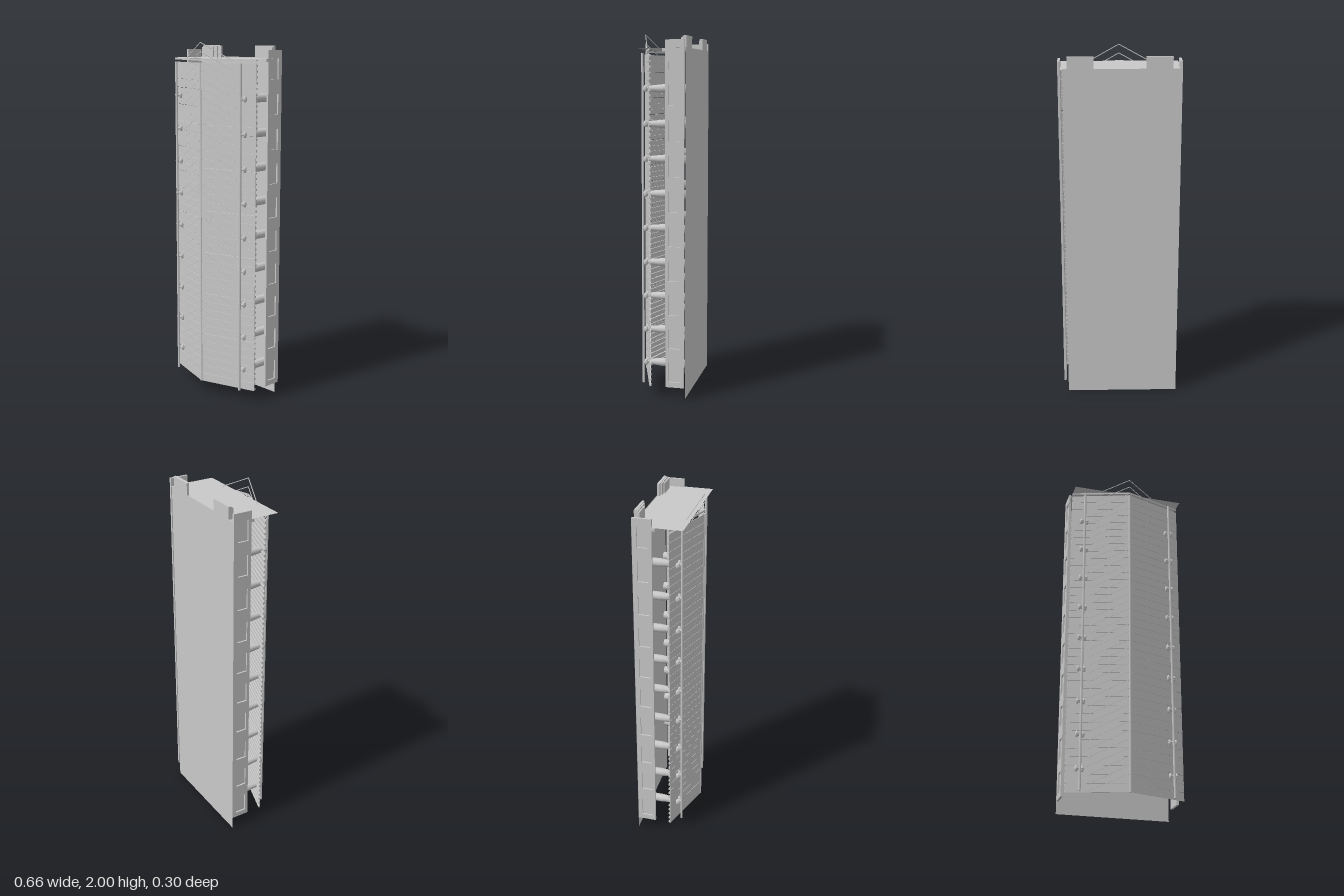
import * as THREE from 'three';

const grey = new THREE.MeshStandardMaterial({ color: 0xc9c9c9, side: THREE.DoubleSide });
grey.name = 'light grey';

// depth of the folded front screen at a given x
const foldZ = (x) => 0.148 - 0.315 * Math.abs(x);

export function createModel() {
  const model = new THREE.Group();
  model.name = 'tower';

  const add = (name, geometry) => {
    const mesh = new THREE.Mesh(geometry, grey);
    mesh.name = name;
    model.add(mesh);
    return mesh;
  };
  const box = (name, x0, x1, y0, y1, z0, z1) =>
    add(name, new THREE.BoxGeometry(x1 - x0, y1 - y0, z1 - z0))
      .position.set((x0 + x1) / 2, (y0 + y1) / 2, (z0 + z1) / 2);
  const rod = (name, a, b, r, sides = 6, rEnd = r) => {
    const from = new THREE.Vector3(...a), to = new THREE.Vector3(...b);
    const dir = to.clone().sub(from);
    const mesh = add(name, new THREE.CylinderGeometry(rEnd, r, dir.length(), sides));
    mesh.position.copy(from).add(to).multiplyScalar(0.5);
    mesh.quaternion.setFromUnitVectors(new THREE.Vector3(0, 1, 0), dir.normalize());
  };

  // back wall and roof sheets
  const backWall = add('backWall', new THREE.PlaneGeometry(0.634, 1.917));
  backWall.position.set(-0.013, 0.9585, -0.151);
  const roof = add('roof', new THREE.PlaneGeometry(0.652, 0.267).rotateX(-Math.PI / 2));
  roof.position.set(0, 1.912, -0.0175);

  // stepped parapets, three layers each
  for (const s of [-1, 1]) {
    [[0.138, 1.98, -0.151, -0.137], [0.16, 1.977, -0.137, -0.129], [0.185, 1.97, -0.129, -0.121]]
      .forEach(([inner, top, z0, z1]) =>
        box('parapet', Math.min(s * inner, s * 0.28), Math.max(s * inner, s * 0.28), 1.9, top, z0, z1));
  }

  // side walls with a column of recessed windows
  const wall = new THREE.Shape([
    [-0.15, 0.07], [-0.046, 0.07], [-0.046, 1.957], [-0.15, 1.957],
  ].map((p) => new THREE.Vector2(...p)));
  for (let i = 0; i < 10; i++) {
    const y = 0.1 + i * 0.189;
    wall.holes.push(new THREE.Path([
      [-0.125, y], [-0.125, y + 0.112], [-0.064, y + 0.112], [-0.064, y],
    ].map((p) => new THREE.Vector2(...p))));
  }
  const wallGeometry = new THREE.ExtrudeGeometry(wall, { depth: 0.013, bevelEnabled: false });
  wallGeometry.rotateY(-Math.PI / 2);
  for (const s of [-1, 1]) {
    add('sideWall', wallGeometry).position.x = s > 0 ? 0.329 : -0.316;
    box('windowBacking', s * 0.318 - 0.002, s * 0.318 + 0.002, 0.08, 1.93, -0.145, -0.05);
    box('wallBracket', s * 0.327 - 0.002, s * 0.327 + 0.002, 1.895, 1.912, -0.05, -0.03);
  }

  // folded horizontal bands: wide slats, thin battens behind them, top rail
  const e = 0.328;
  const fold = (height, front, back) => new THREE.ExtrudeGeometry(new THREE.Shape([
    [-e, foldZ(e) - back], [0, foldZ(0) - back], [e, foldZ(e) - back],
    [e, foldZ(e) - front], [0, foldZ(0) - front], [-e, foldZ(e) - front],
  ].map(([x, z]) => new THREE.Vector2(x, -z))), { depth: height, bevelEnabled: false })
    .rotateX(-Math.PI / 2);
  const slatGeometry = fold(0.0462, 0, 0.003);
  for (let i = 0; i < 38; i++) add('slat', slatGeometry).position.y = 0.066 + i * 0.048;
  const battenGeometry = fold(0.012, 0.003, 0.011);
  for (let i = 0; i < 61; i++) add('batten', battenGeometry).position.y = 0.07 + i * 0.03;
  add('topRail', fold(0.01, 0, 0.006)).position.y = 1.9;

  // sloping wires running up to the fold
  for (let i = 0; i < 39; i++) {
    const y = 0.166 + i * 0.0482;
    for (const s of [-1, 1]) {
      const x = i < 37 ? 0.215 : 0.19;
      rod('slopingWire', [s * x, Math.max(0.07, y - 0.5 * x), foldZ(x) - 0.002],
        [0, y, foldZ(0) - 0.002], 0.0025, 5);
    }
  }

  // vertical rods in front of the screen
  rod('centreRod', [0, 0.066, 0.145], [0, 1.89, 0.145], 0.007, 8);
  for (const s of [-1, 1]) {
    rod('outerRod', [s * 0.26, 0.066, 0.095], [s * 0.26, 1.89, 0.095], 0.007, 8);

    // support arms with paired clamps
    for (let i = 0; i < 9; i++) {
      const y = 0.19 + i * 0.189, x = s * 0.26;
      rod('supportArm', [x, y, -0.15], [x, y, -0.02], 0.023, 12);
      rod('armTaper', [x, y, -0.02], [x, y, 0.06], 0.023, 12, 0.015);
      rod('armTip', [x, y, 0.06], [x, y, 0.09], 0.008, 10);
      for (const d of [-0.017, 0.017]) {
        const clamp = add('clamp', new THREE.SphereGeometry(0.01, 10, 8));
        clamp.position.set(x + d, y, 0.076);
        clamp.scale.set(0.9, 1.8, 1.2);
      }
      rod('clampBar', [x - 0.02, y, 0.085], [x + 0.02, y, 0.085], 0.005, 6);
    }
  }
  return model;
}
